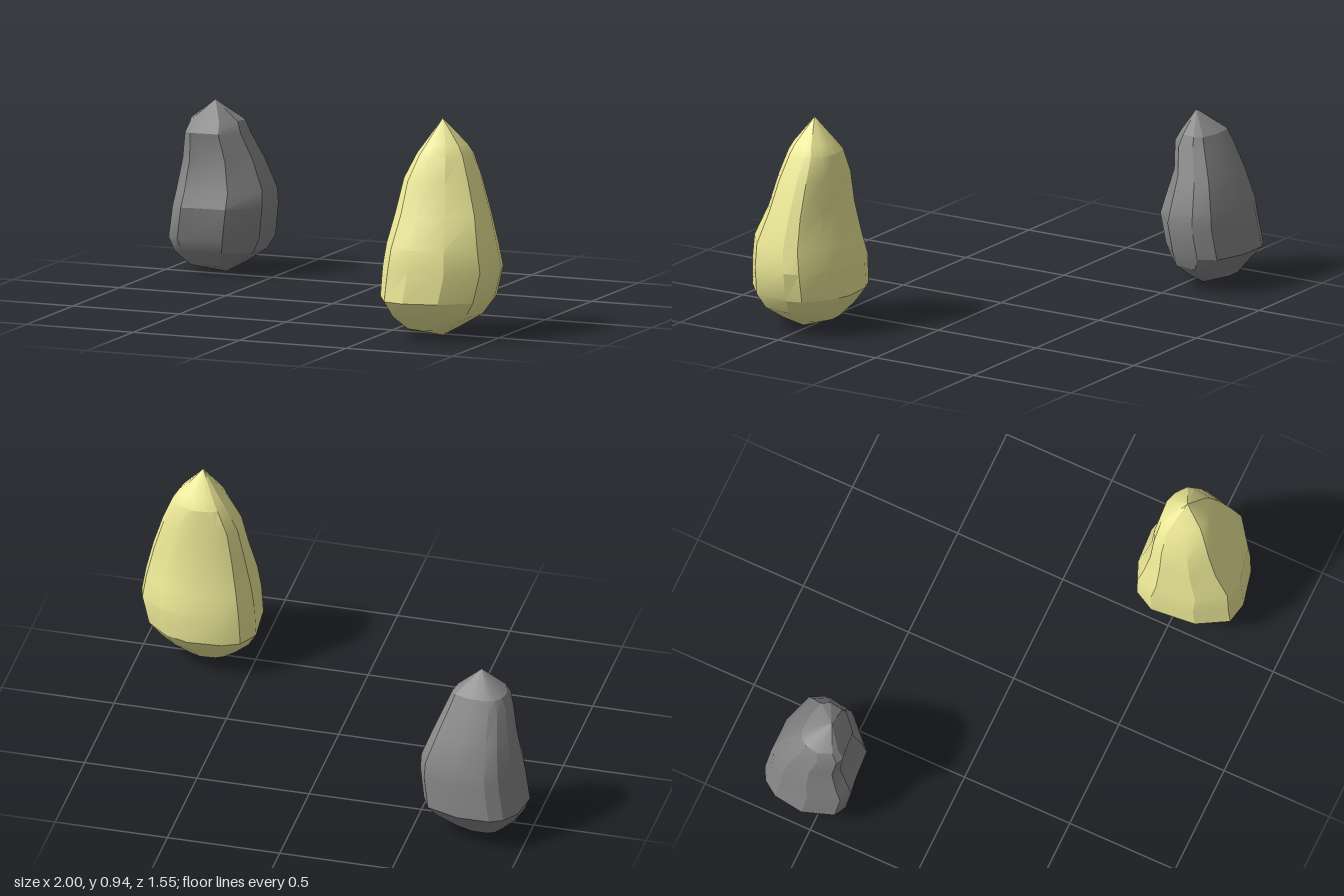
import * as THREE from 'three';
import { toCreasedNormals } from 'three/addons/utils/BufferGeometryUtils.js';

// Faceted drop: one plan outline fitted into the [y, xMin, xMax, zMin, zMax] box of each level.
function drop(name, color, outline, levels, base, tip) {
  const xs = outline.map(p => p[0]), zs = outline.map(p => p[1]);
  const xMin = Math.min(...xs), zMin = Math.min(...zs);
  const w = Math.max(...xs) - xMin, d = Math.max(...zs) - zMin;
  const n = outline.length;
  const rings = levels.map(([y, x0, x1, z0, z1]) => outline.map(([x, z]) => [
    x0 + (x - xMin) / w * (x1 - x0), y, z0 + (z - zMin) / d * (z1 - z0)]));
  const pos = [];
  const tri = (a, b, c) => pos.push(...a, ...b, ...c);
  const last = rings[rings.length - 1];
  for (let j = 0; j < n; j++) {
    const k = (j + 1) % n;
    tri(base, rings[0][j], rings[0][k]);
    for (let i = 0; i < rings.length - 1; i++) {
      const lo = rings[i], hi = rings[i + 1];
      tri(lo[j], hi[j], lo[k]);
      tri(lo[k], hi[j], hi[k]);
    }
    tri(last[j], tip, last[k]);
  }
  const geo = new THREE.BufferGeometry();
  geo.setAttribute('position', new THREE.Float32BufferAttribute(pos, 3));
  const mesh = new THREE.Mesh(toCreasedNormals(geo, 0.4), new THREE.MeshStandardMaterial({ color }));
  mesh.name = name;
  return mesh;
}

export function createModel() {
  const group = new THREE.Group();
  group.name = 'facetedDrops';

  // Taller yellow drop, front left
  group.add(drop('yellowDrop', 0xeeea98,
    [[0.48, 0.42], [0.53, 0.33], [0.61, 0.295], [0.77, 0.285], [0.88, 0.32], [0.98, 0.4],
      [1, 0.47], [0.97, 0.64], [0.84, 0.74], [0.68, 0.775], [0.58, 0.755], [0.5, 0.62]],
    [
      [0.04, 0.6, 0.82, 0.4, 0.67],
      [0.1, 0.52, 0.92, 0.345, 0.735],
      [0.17, 0.48, 0.97, 0.295, 0.78],
      [0.3, 0.485, 1, 0.295, 0.765],
      [0.4, 0.505, 0.985, 0.32, 0.755],
      [0.54, 0.535, 0.95, 0.35, 0.685],
      [0.68, 0.565, 0.905, 0.36, 0.645],
      [0.79, 0.62, 0.86, 0.375, 0.6],
      [0.83, 0.65, 0.835, 0.4, 0.575],
    ],
    [0.75, 0, 0.53], [0.73, 0.94, 0.485]));

  // Shorter grey drop, back right
  group.add(drop('greyDrop', 0x888888,
    [[-1, -0.54], [-0.98, -0.68], [-0.93, -0.75], [-0.87, -0.78], [-0.72, -0.78], [-0.57, -0.73],
      [-0.53, -0.65], [-0.55, -0.51], [-0.68, -0.39], [-0.83, -0.38], [-0.895, -0.37], [-0.95, -0.4]],
    [
      [0.035, -0.9, -0.68, -0.67, -0.46],
      [0.1, -0.97, -0.58, -0.72, -0.405],
      [0.16, -0.995, -0.55, -0.775, -0.38],
      [0.3, -0.97, -0.53, -0.76, -0.365],
      [0.37, -0.96, -0.535, -0.75, -0.39],
      [0.5, -0.935, -0.585, -0.7, -0.425],
      [0.62, -0.91, -0.635, -0.645, -0.415],
      [0.67, -0.89, -0.655, -0.62, -0.445],
    ],
    [-0.74, 0, -0.56], [-0.77, 0.76, -0.505]));

  return group;
}
